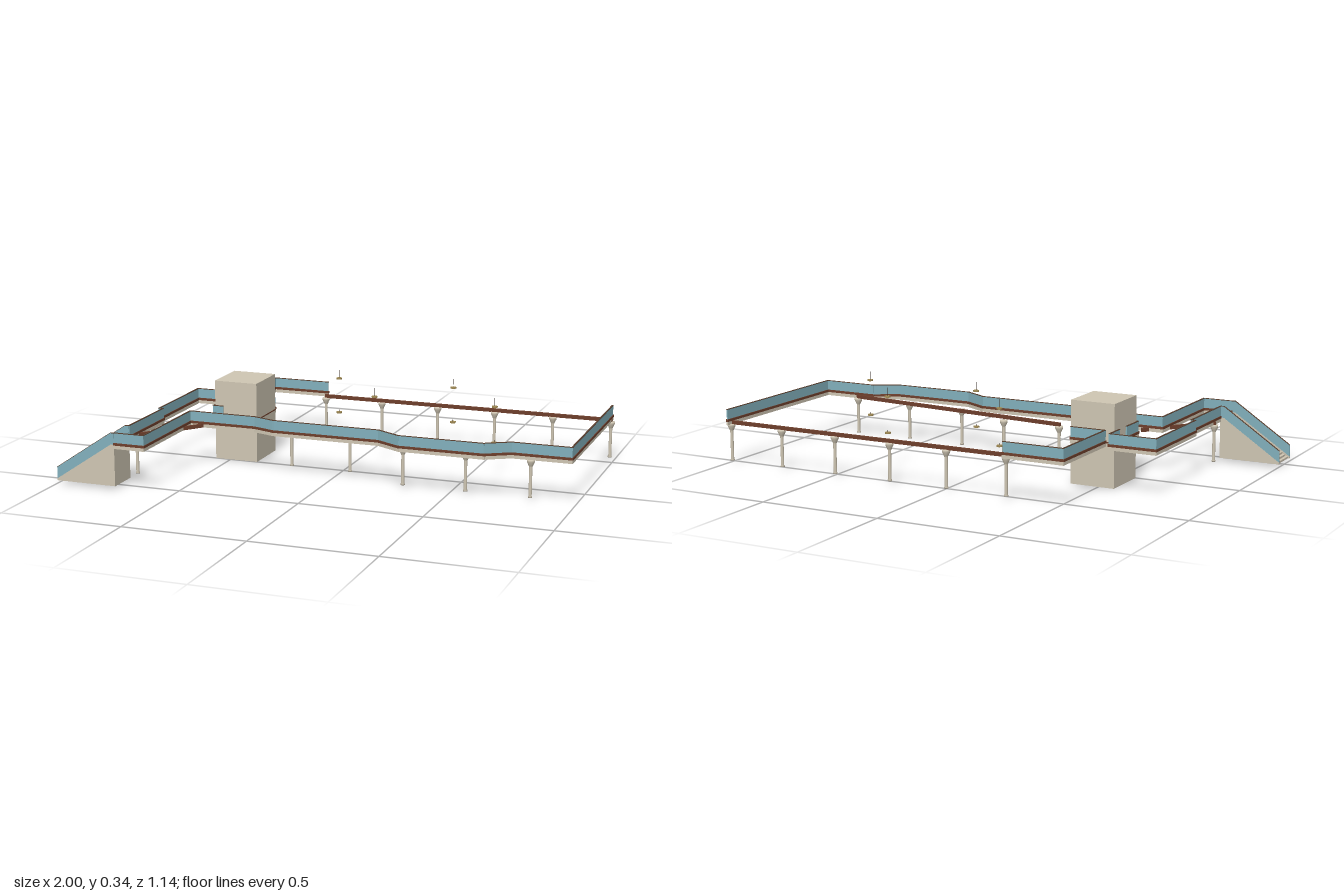
import * as THREE from 'three';

const mat = (name, color) => new THREE.MeshStandardMaterial({ name, color });

export function createModel() {
  const concrete = mat('concrete', 0xcfc6b3);
  const glass = mat('blue panel', 0x82b0bc);
  const brown = mat('red brown trim', 0x6e3f2c);
  const railBrown = mat('dark brown rail', 0x583e2e);
  const dark = mat('dark metal', 0x3a2f28);
  const brass = mat('lamp brass', 0xa08a54);

  const root = new THREE.Group();
  root.name = 'elevatedWalkway';

  const add = (parent, name, geo, material, x = 0, y = 0, z = 0) => {
    const m = new THREE.Mesh(geo, material);
    m.name = name;
    m.position.set(x, y, z);
    parent.add(m);
    return m;
  };

  // Straight bar between two plan points, from height y0 to y1
  const bar = (parent, name, a, b, y0, y1, width, material) => {
    const dx = b[0] - a[0], dz = b[1] - a[1];
    const m = add(parent, name,
      new THREE.BoxGeometry(Math.hypot(dx, dz) + width, y1 - y0, width), material,
      (a[0] + b[0]) / 2, (y0 + y1) / 2, (a[1] + b[1]) / 2);
    m.rotation.y = -Math.atan2(dz, dx);
  };

  // Layers of the parapet: name, bottom, top, thickness, material
  const layers = [
    ['fascia', 0.163, 0.177, 0.008, concrete],
    ['ledge', 0.177, 0.187, 0.011, brown],
    ['panel', 0.187, 0.226, 0.005, glass],
    ['handrail', 0.226, 0.228, 0.007, railBrown],
  ];
  const parapet = (name, points) => {
    const g = new THREE.Group();
    g.name = name;
    for (let i = 1; i < points.length; i++)
      for (const [part, y0, y1, w, m] of layers)
        bar(g, part, points[i - 1], points[i], y0, y1, w, m);
    root.add(g);
  };

  parapet('backParapet', [[-0.28, -0.564], [-0.528, -0.564], [-0.528, -0.207], [-0.385, -0.207]]);
  parapet('sideParapet', [[-0.57, -0.17], [-0.57, -0.256], [-0.761, -0.256],
    [-0.761, 0.127], [-0.744, 0.127], [-0.744, 0.435]]);
  parapet('towerParapet', [[-0.57, -0.1], [-0.57, 0.006], [-0.53, 0.006]]);
  parapet('frontParapet', [[-0.744, 0.561], [-0.621, 0.561], [-0.621, 0.128], [-0.335, 0.128],
    [-0.24, 0.161], [0.206, 0.161], [0.306, 0.217], [0.65, 0.217], [0.746, 0.161],
    [0.981, 0.161], [0.981, -0.564]]);

  // Beams carried by the columns
  const beams = [
    [[-0.278, -0.538], [0.981, -0.538]],
    [[-0.208, 0.044], [0.821, 0.156]],
    [[-0.748, 0.362], [-0.546, 0.106]],
  ];
  for (const [a, b] of beams) bar(root, 'beam', a, b, 0.163, 0.178, 0.01, brown);

  // Round columns with flared capitals
  const columnGeo = new THREE.LatheGeometry([
    [0, 0.012], [0.0085, 0.012], [0.0085, 0.017], [0.0065, 0.019], [0.0065, 0.134],
    [0.009, 0.14], [0.016, 0.155], [0.016, 0.164], [0, 0.164],
  ].map(p => new THREE.Vector2(...p)), 12);
  const columns = [
    ...[-0.278, -0.02, 0.232, 0.484, 0.736, 0.982].map(x => [x, -0.538]),
    [-0.208, 0.044], [0.045, 0.044], [0.306, 0.156], [0.562, 0.156], [0.821, 0.156], [-0.748, 0.362],
  ];
  for (const [x, z] of columns) add(root, 'column', columnGeo, concrete, x, 0, z);

  // Hanging lamps on two levels
  const discGeo = new THREE.CylinderGeometry(0.012, 0.012, 0.006, 12);
  for (const [x, z] of [[-0.146, -0.346], [0.358, -0.346], [0.106, -0.077], [0.61, -0.077]])
    for (const [y, rod] of [[0.3, 0.037], [0.153, 0.011]]) {
      add(root, 'lampDisc', discGeo, brass, x, y, z);
      add(root, 'lampRod', new THREE.CylinderGeometry(0.001, 0.001, rod, 6), dark, x, y + rod / 2, z);
    }

  // Tower with a trim line at deck level
  add(root, 'tower', new THREE.BoxGeometry(0.185, 0.331, 0.202), concrete, -0.473, 0.1655, -0.101);
  add(root, 'towerTrim', new THREE.BoxGeometry(0.185, 0.005, 0.204), brown, -0.472, 0.178, -0.101);

  // Extruded side profile, standing between two z values
  const extrudeXY = (parent, name, pts, z0, z1, material) => {
    const shape = new THREE.Shape(pts.map(p => new THREE.Vector2(...p)));
    const geo = new THREE.ExtrudeGeometry(shape, { depth: z1 - z0, bevelEnabled: false });
    add(parent, name, geo, material, 0, 0, z0);
  };

  // Solid stair
  const stair = new THREE.Group();
  stair.name = 'stair';
  root.add(stair);
  const steps = 20, x0 = -0.995, x1 = -0.745, yBase = 0.012, yTop = 0.176;
  const profile = [[x1, yBase], [x0, yBase]];
  for (let i = 0; i < steps; i++) {
    const y = yBase + (yTop - yBase) * (i + 1) / steps;
    profile.push([x0 + (x1 - x0) * i / steps, y], [x0 + (x1 - x0) * (i + 1) / steps, y]);
  }
  extrudeXY(stair, 'steps', profile.reverse(), 0.438, 0.561, concrete);

  // Cheek wall, sloped panel and handrail on both sides of the stair
  const slope = (lo, hi) =>
    [[-1, lo - 0.16], [-0.76, lo], [-0.745, lo], [-0.745, hi], [-0.76, hi], [-1, hi - 0.16]];
  const cheek = [[-1, 0.012], [-0.745, 0.012], [-0.745, 0.18], [-0.76, 0.18], [-1, 0.02]];
  for (const z of [0.438, 0.563])
    for (const [name, pts, w, m] of [
      ['stairCheek', cheek, 0.007, concrete],
      ['stairPanel', slope(0.18, 0.226), 0.006, glass],
      ['stairHandrail', slope(0.226, 0.228), 0.007, railBrown],
    ]) extrudeXY(stair, name, pts, z - w / 2, z + w / 2, m);

  return root;
}
